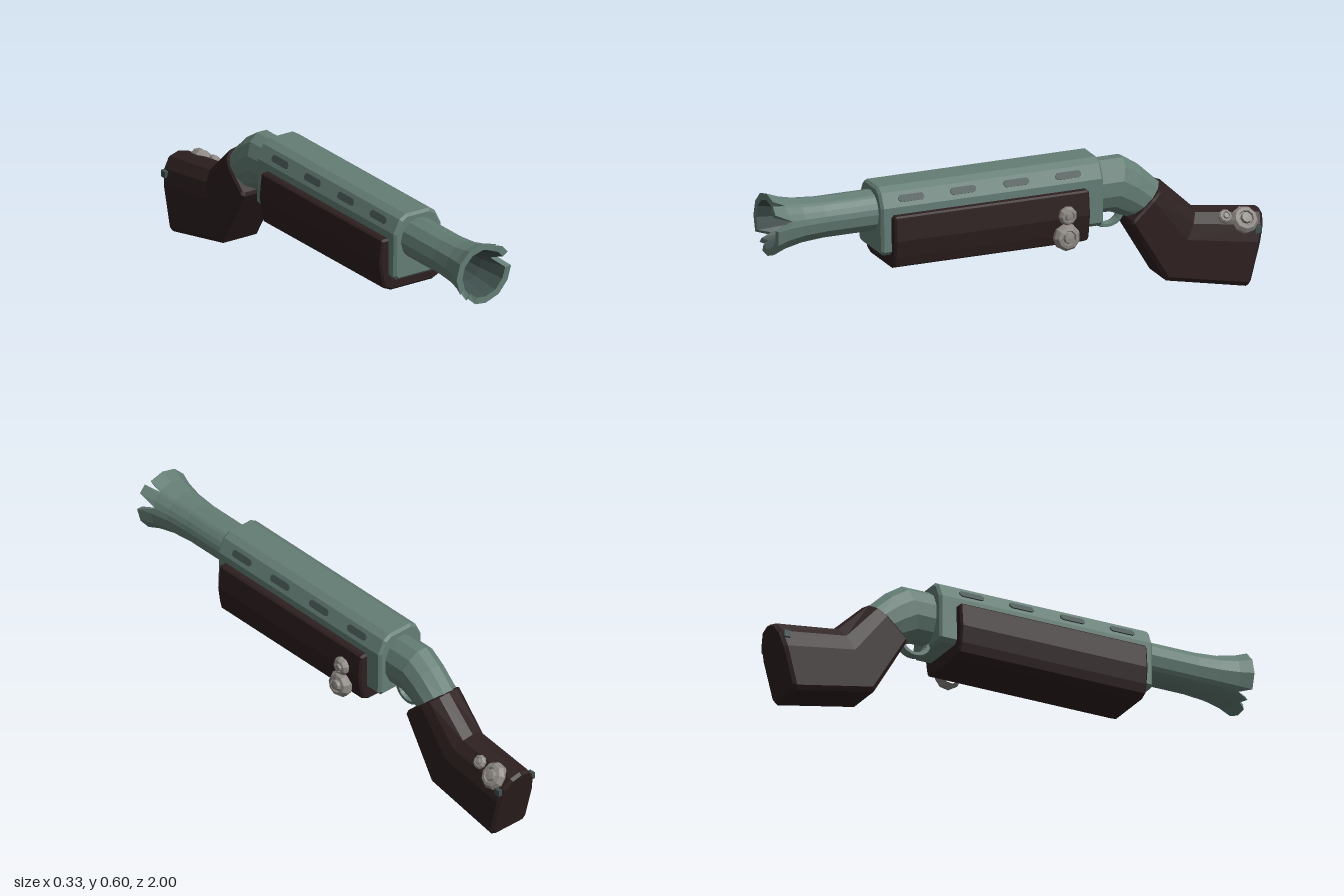
import * as THREE from 'three';

const CX = -0.018; // centre line of the gun
const mat = (name, color) => Object.assign(new THREE.MeshStandardMaterial({ color }), { name });

// give every face its own normal
function facet(geo) {
  const g = geo.index ? geo.toNonIndexed() : geo;
  g.computeVertexNormals();
  return g;
}

// skin a list of closed rings (arrays of [x, y, z]), with optional end caps
function loft(rings, startCap = true, endCap = true) {
  const n = rings[0].length, idx = [];
  for (let i = 0; i < rings.length - 1; i++) {
    for (let j = 0; j < n; j++) {
      const a = i * n + j, b = i * n + (j + 1) % n;
      idx.push(a, b, a + n, b, b + n, a + n);
    }
  }
  const last = (rings.length - 1) * n;
  for (let j = 1; j < n - 1; j++) {
    if (startCap) idx.push(0, j + 1, j);
    if (endCap) idx.push(last, last + j, last + j + 1);
  }
  const g = new THREE.BufferGeometry();
  g.setAttribute('position', new THREE.Float32BufferAttribute(rings.flat(2), 3));
  g.setIndex(idx);
  return facet(g);
}

// ring spanning a top and a bottom point (z, y) with a section in (side, height 0..1)
const sideRing = (section, [tz, ty, bz, by, hw]) =>
  section.map(([u, v]) => [CX + u * hw, by + (ty - by) * v, bz + (tz - bz) * v]);

// mirrored half profile extruded along z with bevelled ends
function prism(half, z0, z1, bevel) {
  const pts = [...half, ...half.map(([x, y]) => [-x, y]).reverse()];
  const shape = new THREE.Shape(pts.map(([x, y]) => new THREE.Vector2(x, y)));
  const g = new THREE.ExtrudeGeometry(shape, {
    depth: z1 - z0 - 2 * bevel, bevelEnabled: true, bevelSize: bevel,
    bevelThickness: bevel, bevelOffset: -bevel, bevelSegments: 1,
  });
  return facet(g.translate(CX, 0, z0 + bevel));
}

// piecewise linear radius at z
function radiusAt(table, z) {
  for (let i = 1; i < table.length; i++) {
    const [z0, r0] = table[i - 1], [z1, r1] = table[i];
    if (z <= z1) return r0 + (r1 - r0) * (z - z0) / (z1 - z0);
  }
  return table[table.length - 1][1];
}

// flared barrel whose rim is broken by notches, and its separate hollow bore
function barrelGeometries() {
  const outer = [[0.5, 0.08], [0.78, 0.08], [0.87, 0.087], [0.94, 0.102], [0.999, 0.124]];
  const inner = [[0.72, 0.064], [0.88, 0.068], [0.94, 0.082], [0.999, 0.097]];
  // angle in degrees and the z where the wall ends there
  const rim = [[3, 0.995], [18, 0.925], [33, 0.999], [50, 0.999], [55, 0.94], [61, 0.99], [90, 0.99],
    [120, 0.99], [150, 0.99], [180, 0.99], [210, 0.99], [222, 0.945], [231, 0.985], [242, 0.965],
    [252, 0.99], [275, 0.99], [305, 0.99], [335, 0.99]];
  const row = (table, z) => rim.map(([deg, end]) => {
    const zz = Math.min(z, end), r = radiusAt(table, zz), a = deg * Math.PI / 180;
    return [CX + r * Math.cos(a), 0.475 + r * Math.sin(a), zz];
  });
  const inside = inner.map(([z]) => row(inner, z)).reverse();
  return [
    loft([...outer.map(([z]) => row(outer, z)), inside[0]], true, false),
    loft(inside, false, true),
  ];
}

// long eight-sided slot plate lying in the xz plane
function slotGeometry() {
  const g = new THREE.CylinderGeometry(1, 1, 0.008, 8);
  g.rotateY(Math.PI / 8).scale(0.0145, 1, 0.016);
  const p = g.attributes.position;
  for (let i = 0; i < p.count; i++) {
    if (Math.abs(p.getZ(i)) > 0.001) p.setZ(i, p.getZ(i) + Math.sign(p.getZ(i)) * 0.036);
  }
  return facet(g);
}

// round stud with a raised centre, axis along +y
function studGeometry(r) {
  const pts = [[0.7, -0.6], [1, -0.2], [1, 0.12], [0.8, 0.42], [0.56, 0.48], [0.5, 0.34],
    [0.42, 0.36], [0.36, 0.6], [0, 0.64]].map(([x, y]) => new THREE.Vector2(x * r, y * r));
  return facet(new THREE.LatheGeometry(pts, 9));
}

export function createModel() {
  const root = new THREE.Group();
  root.name = 'blunderbuss';
  const metal = mat('weathered green metal', 0x647d75);
  const dark = mat('dark green metal', 0x3f504d);
  const wood = mat('dark wood', 0x2d1f1f);
  const grey = mat('pale grey stud', 0x8c8782);
  const add = (name, geo, material, parent = root) => {
    const m = new THREE.Mesh(geo, material);
    m.name = name;
    parent.add(m);
    return m;
  };

  const [barrel, bore] = barrelGeometries();
  add('barrel', barrel, metal);
  add('bore', bore, dark);

  // receiver with an arched top
  add('receiver', prism([[0.094, 0.323], [0.108, 0.338], [0.106, 0.508], [0.08, 0.562], [0.052, 0.579]],
    -0.33, 0.57, 0.01), metal);

  // slots along both upper edges of the receiver
  const slots = new THREE.Group();
  slots.name = 'slots';
  root.add(slots);
  for (const s of [-1, 1]) {
    for (const z of [0.445, 0.235, 0.02, -0.19]) {
      const m = add('slot', slotGeometry(), dark, slots);
      m.position.set(CX + s * 0.093, 0.536, z);
      m.rotation.z = -s * (Math.PI / 2 - 0.449);
    }
  }

  // wooden handguard
  add('handguard', prism([[0.093, 0.27], [0.126, 0.285], [0.135, 0.32], [0.144, 0.386], [0.135, 0.474],
    [0.128, 0.48], [0.1, 0.48]], -0.26, 0.53, 0.008), wood);

  // bent wrist behind the receiver
  const round = Array.from({ length: 12 }, (_, i) => {
    const a = -Math.PI * 7 / 12 - i * Math.PI / 6;
    return [Math.cos(a) * 1.03, 0.5 + Math.sin(a) * 0.517];
  });
  add('wrist', loft([
    [-0.3, 0.55, -0.3, 0.345, 0.079], [-0.445, 0.55, -0.39, 0.345, 0.079],
    [-0.515, 0.505, -0.425, 0.33, 0.077], [-0.61, 0.415, -0.485, 0.305, 0.075],
  ].map((r) => sideRing(round, r))), metal);

  // stock with an arched top and chamfered bottom
  const arch = [[-0.87, 0], [-1, 0.06], [-1, 0.6], [-0.85, 0.82], [-0.5, 0.96]];
  const section = [...arch, [0, 1], ...arch.map(([u, v]) => [-u, v]).reverse()];
  const stock = add('stock', loft([
    [-0.585, 0.432, -0.455, 0.315, 0.08], [-0.6, 0.437, -0.452, 0.3, 0.087],
    [-0.73, 0.315, -0.592, 0.065, 0.087], [-0.988, 0.282, -0.916, 0, 0.087],
    [-1, 0.272, -0.93, 0.004, 0.078],
  ].map((r) => sideRing(section, r))), wood);
  stock.position.x = 0.004;

  // small metal pin through the back of the stock
  add('stockPin', new THREE.BoxGeometry(0.18, 0.026, 0.026).translate(-0.014, 0.217, -0.962), dark);

  // trigger guard
  const guard = new THREE.TorusGeometry(0.048, 0.012, 6, 10, Math.PI);
  guard.rotateZ(Math.PI).rotateY(Math.PI / 2).scale(1.8, 1, 1.15);
  add('triggerGuard', facet(guard.translate(CX, 0.338, -0.385)), metal);

  // studs on the left of the handguard and on the shoulder of the stock
  for (const [x, y, z, r, tilt] of [
    [0.131, 0.315, -0.16, 0.052, 1.45], [0.13, 0.397, -0.165, 0.036, 1.57],
    [0.046, 0.254, -0.916, 0.053, 0.95], [0.048, 0.278, -0.838, 0.027, 0.95],
  ]) {
    const m = add('stud', studGeometry(r), grey);
    m.position.set(x, y, z);
    m.rotation.z = -tilt;
  }
  return root;
}
